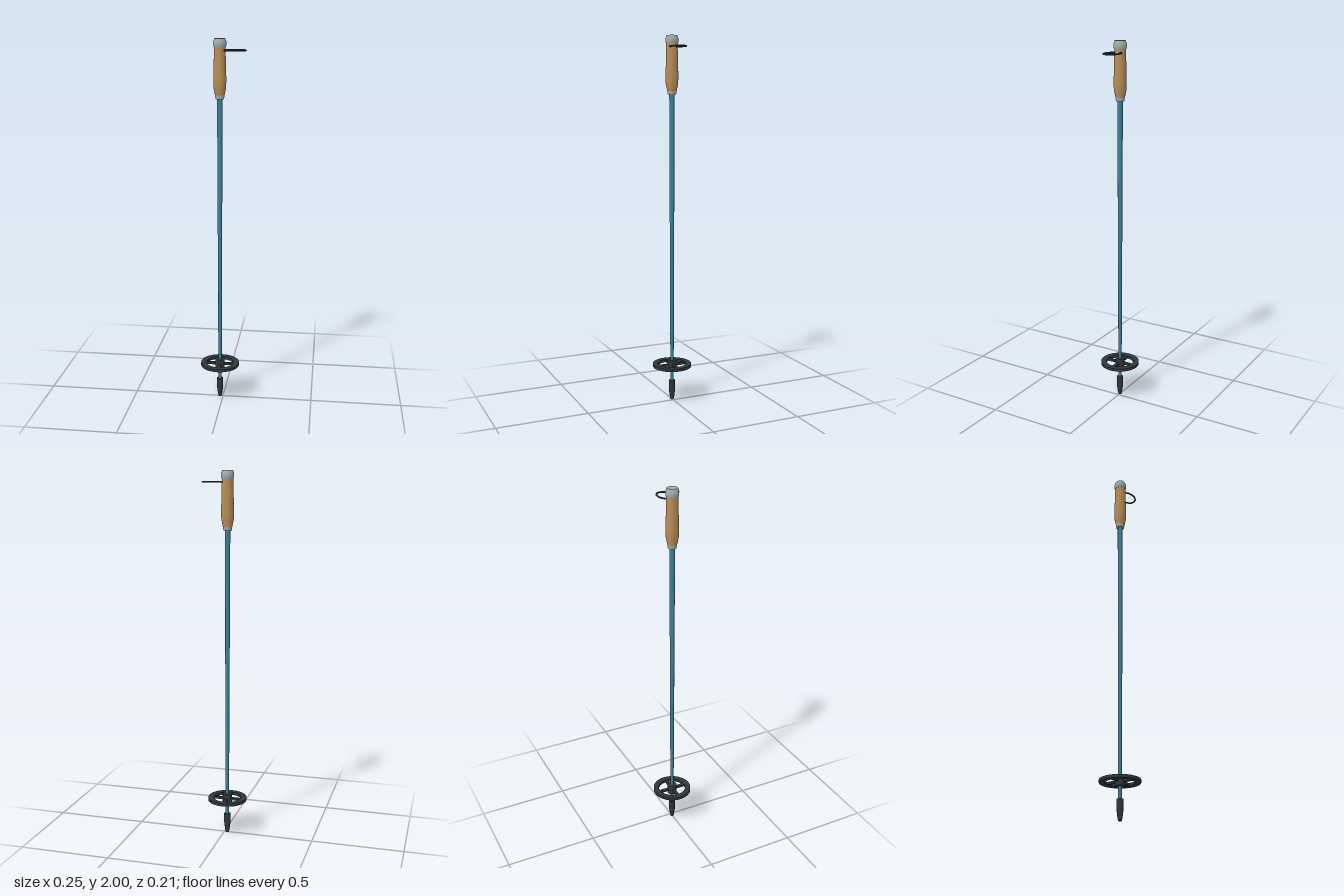
import * as THREE from 'three';
import { toCreasedNormals } from 'three/addons/utils/BufferGeometryUtils.js';

const mat = (color) => new THREE.MeshStandardMaterial({ color });

export function createModel() {
  const model = new THREE.Group();
  const pole = new THREE.Group();
  pole.name = 'pole';
  pole.position.x = -0.017;
  model.add(pole);

  const blue = mat(0x3f8098), cork = mat(0xb98d58), grey = mat(0xa4adae), dark = mat(0x30383c);

  const add = (name, geometry, material, parent = pole) => {
    const mesh = new THREE.Mesh(geometry, material);
    mesh.name = name;
    parent.add(mesh);
    return mesh;
  };
  // Turned part from [radius, height] pairs, bottom to top
  const turned = (name, points, material, parent) => {
    const profile = points.map(([r, y]) => new THREE.Vector2(r, y));
    return add(name, toCreasedNormals(new THREE.LatheGeometry(profile, 32), 0.5), material, parent);
  };

  // Tapered shaft
  turned('shaft', [[0, 0.08], [0.009, 0.08], [0.0145, 1.7], [0, 1.7]], blue);

  // Grip: lower collar, cork handle and top cap
  turned('gripCollar', [[0, 1.69], [0.022, 1.69], [0.025, 1.712], [0, 1.712]], grey);
  turned('corkGrip', [[0, 1.71], [0.025, 1.71], [0.033, 1.75], [0.034, 1.79], [0.031, 1.9],
    [0.03, 1.96], [0, 1.96]], cork);
  turned('gripCap', [[0, 1.955], [0.031, 1.955], [0.034, 1.965], [0.034, 1.983], [0.028, 2],
    [0, 2]], grey);

  // Wrist strap: a thin oval loop beside the grip
  const strapCurve = new THREE.CatmullRomCurve3(
    Array.from({ length: 24 }, (_, i) => {
      const a = (i / 24) * Math.PI * 2;
      return new THREE.Vector3(0.077 + 0.058 * Math.cos(a), 1.94, 0.04 * Math.sin(a));
    }), true);
  add('wristStrap', new THREE.TubeGeometry(strapCurve, 64, 0.0045, 8, true), dark);

  // Basket: flat ring, four spokes and a hub
  const basket = new THREE.Group();
  basket.name = 'basket';
  basket.position.y = 0.2;
  pole.add(basket);
  turned('basketRing', [[0.077, -0.008], [0.107, -0.008], [0.107, 0.008], [0.077, 0.008],
    [0.077, -0.008]], dark, basket);
  for (let i = 0; i < 4; i++) {
    const spoke = add('basketSpoke', new THREE.BoxGeometry(0.065, 0.012, 0.016), dark, basket);
    const a = (i * Math.PI) / 2;
    spoke.position.set(0.05 * Math.cos(a), 0, -0.05 * Math.sin(a));
    spoke.rotation.y = a;
  }
  turned('basketHub', [[0, -0.026], [0.026, -0.026], [0.026, 0.028], [0, 0.028]], dark, basket);

  // Ferrule and ground tip
  turned('ferrule', [[0, 0.012], [0.012, 0.012], [0.018, 0.06], [0.018, 0.11], [0, 0.11]], dark);
  turned('tip', [[0, 0], [0.009, 0], [0.012, 0.014], [0, 0.014]], dark);

  return model;
}
